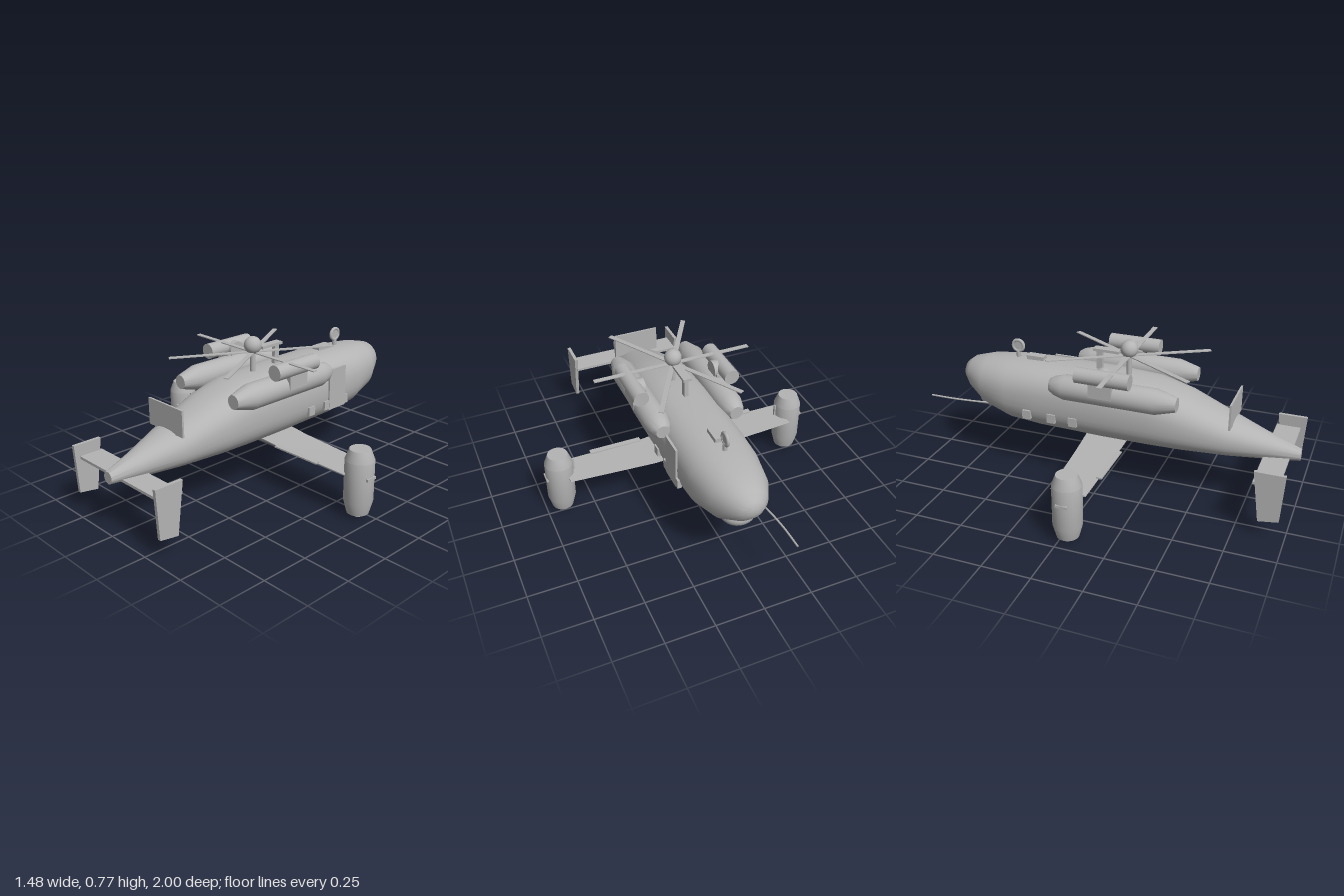
import * as THREE from 'three';
import { toCreasedNormals } from 'three/addons/utils/BufferGeometryUtils.js';

const grey = new THREE.MeshStandardMaterial({ color: 0xb4b4b4 });
grey.name = 'hull grey';

// Skin closed cross-sections; sections are arrays of Vector3, counter-clockwise seen from the last one
function loft(sections) {
  const n = sections[0].length, pos = [], idx = [];
  sections.forEach(s => s.forEach(p => pos.push(p.x, p.y, p.z)));
  for (let i = 0; i < sections.length - 1; i++)
    for (let j = 0; j < n; j++) {
      const a = i * n + j, b = i * n + (j + 1) % n;
      idx.push(a, b, a + n, b, b + n, a + n);
    }
  const cap = (row, flip) => {
    const c = sections[row].reduce((s, p) => s.add(p), new THREE.Vector3()).divideScalar(n);
    const k = pos.length / 3;
    pos.push(c.x, c.y, c.z);
    for (let j = 0; j < n; j++) {
      const a = row * n + j, b = row * n + (j + 1) % n;
      if (flip) idx.push(k, b, a); else idx.push(k, a, b);
    }
  };
  cap(0, true);
  cap(sections.length - 1, false);
  const g = new THREE.BufferGeometry();
  g.setAttribute('position', new THREE.Float32BufferAttribute(pos, 3));
  g.setIndex(idx);
  return toCreasedNormals(g, 0.6);
}

// Revolved solid from [radius, height] pairs
function turned(profile, segments = 28) {
  return toCreasedNormals(
    new THREE.LatheGeometry(profile.map(([r, y]) => new THREE.Vector2(r, y)), segments), 0.4);
}

export function createModel() {
  const model = new THREE.Group();
  const add = (name, geometry, x = 0, y = 0, z = 0, parent = model) => {
    const m = new THREE.Mesh(geometry, grey);
    m.name = name;
    m.position.set(x, y, z);
    parent.add(m);
    return m;
  };
  const box = (w, h, d) => new THREE.BoxGeometry(w, h, d);
  const rod = (r, len, seg = 24) => new THREE.CylinderGeometry(r, r, len, seg);

  // Fuselage stations: z, half width, bottom, top, squareness (nose at -z)
  const stations = [
    [-0.843, 0.02, 0.46, 0.50, 2], [-0.83, 0.055, 0.43, 0.53, 2], [-0.79, 0.095, 0.385, 0.56, 2.1],
    [-0.69, 0.15, 0.315, 0.585, 2.2], [-0.53, 0.183, 0.268, 0.598, 2.4], [-0.35, 0.188, 0.257, 0.602, 2.6],
    [0, 0.19, 0.25, 0.60, 2.6], [0.25, 0.188, 0.25, 0.585, 2.6], [0.42, 0.174, 0.25, 0.54, 2.5],
    [0.65, 0.13, 0.252, 0.45, 2.3], [0.85, 0.07, 0.258, 0.38, 2.1], [1.0, 0.03, 0.27, 0.33, 2],
  ];
  const N = 40;
  add('fuselage', loft(stations.map(([z, w, lo, hi, e]) =>
    Array.from({ length: N }, (_, j) => {
      const a = j / N * Math.PI * 2, c = Math.cos(a), s = Math.sin(a);
      const sq = v => Math.sign(v) * Math.abs(v) ** (2 / e);
      return new THREE.Vector3(w * sq(c), (lo + hi) / 2 + (hi - lo) / 2 * sq(s), z);
    }))));

  // Chin domes
  add('chinDome', new THREE.SphereGeometry(1, 24, 16), 0, 0.35, -0.68).scale.set(0.09, 0.06, 0.085);
  add('bellyDome', new THREE.SphereGeometry(1, 24, 12), 0, 0.275, -0.53).scale.set(0.07, 0.018, 0.07);

  // Upright plate on the rear slope
  add('airBrake', box(0.25, 0.135, 0.01), 0, 0.498, 0.66);

  // Wing: x, leading z, trailing z, bottom, top
  const wing = [
    [-0.63, -0.065, 0.115, 0.217, 0.236], [-0.19, -0.1, 0.115, 0.208, 0.241], [0, -0.112, 0.12, 0.205, 0.256],
    [0.19, -0.1, 0.115, 0.208, 0.241], [0.63, -0.065, 0.115, 0.217, 0.236]];
  add('wing', loft(wing.map(([x, f, b, lo, hi]) => [
    [f, hi], [f + 0.05, lo], [b - 0.05, lo], [b, hi - 0.004], [b, hi],
  ].map(([z, y]) => new THREE.Vector3(x, y, z)).reverse())));

  // Tailplane
  add('tailplane', box(0.63, 0.014, 0.125), 0, 0.282, 0.888);

  // Parts mirrored on both sides
  const nacelle = turned([[0, -0.25], [0.035, -0.25], [0.05, -0.225], [0.065, -0.17],
    [0.065, 0.31], [0.036, 0.415], [0, 0.415]]).rotateX(Math.PI / 2);
  const tipPod = turned([[0, 0], [0.02, 0], [0.02, 0.022], [0.055, 0.022], [0.073, 0.09],
    [0.073, 0.3], [0.052, 0.355], [0, 0.355]], 32);
  const finShape = new THREE.Shape([[0.98, 0.35], [0.83, 0.35], [0.866, 0.085], [0.966, 0.1]]
    .map(([z, y]) => new THREE.Vector2(-z, y)));
  const fin = new THREE.ExtrudeGeometry(finShape, { depth: 0.018, bevelEnabled: false })
    .translate(0, 0, -0.009).rotateY(Math.PI / 2);
  for (const s of [1, -1]) {
    const side = new THREE.Group();
    side.name = s > 0 ? 'leftSide' : 'rightSide';
    model.add(side);
    const put = (name, g, x, y, z) => add(name, g, s * x, y, z, side);
    put('engineNacelle', nacelle, 0.197, 0.56, 0);
    put('rocketTube', rod(0.04, 0.28).rotateX(Math.PI / 2), 0.245, 0.66, 0.05);
    put('tubePylon', box(0.07, 0.085, 0.12), 0.23, 0.5975, 0.04);
    put('tubeMount', new THREE.CylinderGeometry(0.045, 0.045, 0.04, 20).rotateZ(Math.PI / 2), 0.208, 0.648, 0.035);
    put('wingtipPod', tipPod, 0.663, 0, 0.035);
    put('podRib', box(0.02, 0.13, 0.012), 0.592, 0.235, 0.035);
    put('podKnob', box(0.012, 0.014, 0.06), 0.734, 0.22, 0.035);
    put('wingFlap', box(0.28, 0.008, 0.03), 0.33, 0.241, 0.117);
    put('tailFin', fin, 0.317, 0, 0);
    for (const z of [-0.14, -0.26, -0.4]) put('sideBlister', box(0.024, 0.048, 0.045), 0.183, 0.36, z);
  }

  // Side door
  add('sideDoor', box(0.012, 0.225, 0.125), 0.19, 0.4425, -0.335);

  // Rotor: mast, hub ball and six thin blades
  const rotor = new THREE.Group();
  rotor.name = 'rotor';
  rotor.position.set(0, 0, 0.1);
  model.add(rotor);
  add('mast', rod(0.014, 0.14), 0, 0.64, 0, rotor);
  add('hubBall', new THREE.SphereGeometry(0.045, 28, 20), 0, 0.73, 0, rotor);
  for (let i = 0; i < 6; i++)
    add('blade', box(0.425, 0.005, 0.025).translate(0.2125, 0, 0), 0, 0.695, 0, rotor)
      .rotation.y = i * Math.PI / 3;
  add('mastBrace', box(0.044, 0.014, 0.14), 0, 0.707, -0.02);
  add('bracePost', box(0.022, 0.12, 0.03), 0, 0.645, -0.06);

  // Roof sensor ring and box
  add('sensorRing', new THREE.TorusGeometry(0.03, 0.009, 12, 28).rotateY(Math.PI / 2), 0, 0.66, -0.525);
  add('sensorDisc', rod(0.028, 0.01).rotateZ(Math.PI / 2), 0, 0.66, -0.525);
  add('sensorStem', rod(0.012, 0.04, 12), 0, 0.61, -0.525);
  add('roofBox', box(0.046, 0.03, 0.095), 0, 0.606, -0.42);

  // Curved nose probe
  const probe = new THREE.CatmullRomCurve3([[-0.11, -0.62], [-0.13, -0.74], [-0.142, -0.87], [-0.143, -1]]
    .map(([x, z]) => new THREE.Vector3(x, 0.352, z)));
  add('noseProbe', new THREE.TubeGeometry(probe, 16, 0.005, 8));

  return model;
}
